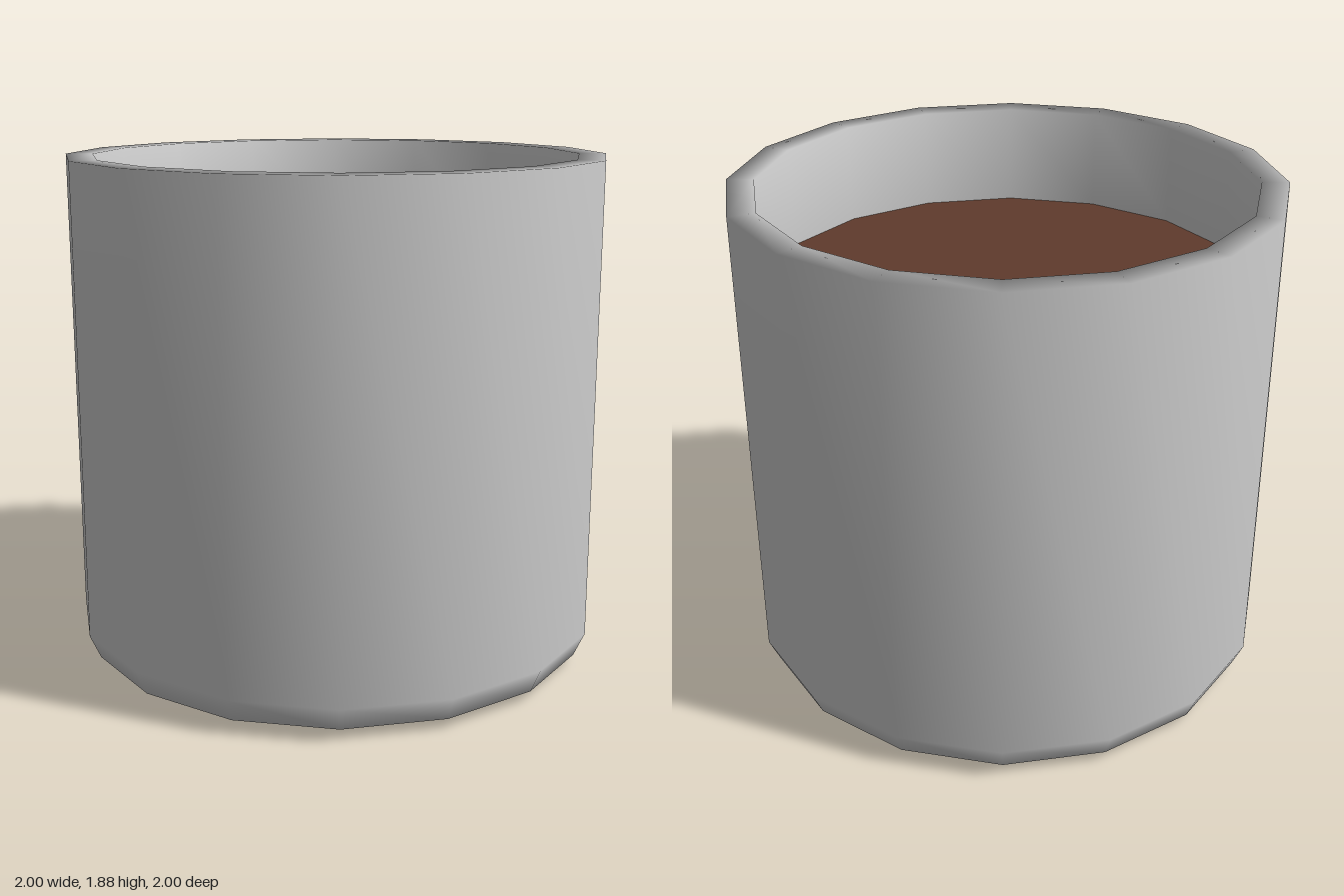
import * as THREE from 'three';
import { mergeVertices } from 'three/addons/utils/BufferGeometryUtils.js';

const SIDES = 16;
const LIQUID_Y = 1.5;

// Revolve a profile, then weld it so the shading runs smoothly over every edge
function smoothLathe(profile) {
  const geometry = new THREE.LatheGeometry(profile.map(([r, y]) => new THREE.Vector2(r, y)), SIDES);
  geometry.deleteAttribute('normal');
  geometry.deleteAttribute('uv');
  const welded = mergeVertices(geometry, 1e-4);
  welded.computeVertexNormals();
  return welded;
}

export function createModel() {
  const ceramic = new THREE.MeshStandardMaterial({ color: 0xcccccc });
  ceramic.name = 'pale grey ceramic';
  const brown = new THREE.MeshStandardMaterial({ color: 0x5f3b2c });
  brown.name = 'brown liquid';

  const group = new THREE.Group();
  group.name = 'cup';

  // Cup: base, bevelled foot, outer wall, flat rim, inner wall
  const body = new THREE.Mesh(smoothLathe([
    [0, 0], [0.87, 0], [0.96, 0.04], [1, 0.13],
    [1, 1.88], [0.9, 1.88], [0.9, LIQUID_Y],
  ]), ceramic);
  body.name = 'cupBody';
  group.add(body);

  // Liquid surface filling the inner wall
  const liquid = new THREE.Mesh(new THREE.CircleGeometry(0.9, SIDES), brown);
  liquid.name = 'liquidSurface';
  liquid.rotation.x = -Math.PI / 2;
  liquid.position.y = LIQUID_Y;
  group.add(liquid);

  return group;
}
